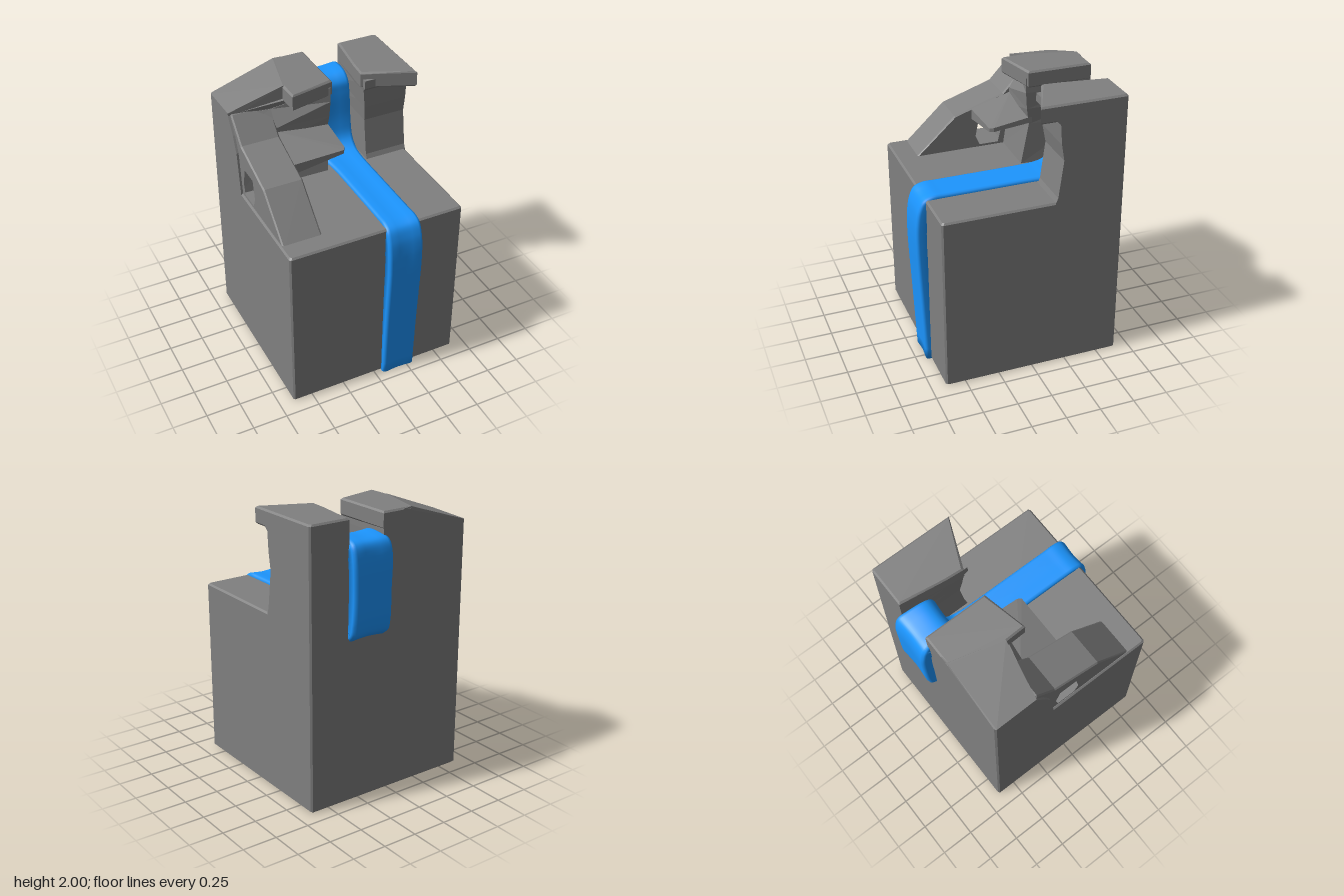
import * as THREE from 'three';
import { ConvexGeometry } from 'three/addons/geometries/ConvexGeometry.js';

const grey = new THREE.MeshStandardMaterial({ color: 0x808080, flatShading: true });
const blue = new THREE.MeshStandardMaterial({ color: 0x1c96ff });

// Skin a list of equal-length rings and cap both ends
function loft(rings, smooth = false) {
  const n = rings[0].length, index = [];
  for (let r = 0; r < rings.length - 1; r++) {
    for (let i = 0; i < n; i++) {
      const a = r * n + i, b = r * n + (i + 1) % n;
      index.push(a, b, b + n, a, b + n, a + n);
    }
  }
  const last = (rings.length - 1) * n;
  for (let i = 1; i < n - 1; i++) {
    index.push(0, i + 1, i, last, last + i, last + i + 1);
  }
  let geo = new THREE.BufferGeometry();
  geo.setAttribute('position', new THREE.Float32BufferAttribute(rings.flat(2), 3));
  geo.setIndex(index);
  if (!smooth) geo = geo.toNonIndexed();
  geo.computeVertexNormals();
  return geo;
}

const convex = (points) => new ConvexGeometry(points.map((p) => new THREE.Vector3(...p)));

// Convex prism over a plan of [x, z] corners, with chamfered top and bottom edges
function slab(plan, y0, y1, c = 0.012) {
  const cx = plan.reduce((s, p) => s + p[0], 0) / plan.length;
  const cz = plan.reduce((s, p) => s + p[1], 0) / plan.length;
  const points = [];
  for (const [x, z] of plan) {
    const ix = x - Math.sign(x - cx) * c, iz = z - Math.sign(z - cz) * c;
    points.push([ix, y0, iz], [ix, y1, iz], [x, y0 + c, z], [x, y1 - c, z]);
  }
  return convex(points);
}

export function createModel() {
  const group = new THREE.Group();
  const add = (name, geo, mat = grey) => {
    const mesh = new THREE.Mesh(geo, mat);
    mesh.name = name;
    group.add(mesh);
  };

  // Main block, with its upright edges chamfered too
  const h = 0.645, k = 0.633;
  add('baseBlock', slab([[h, k], [k, h], [-k, h], [-h, k], [-h, -k], [-k, -h], [k, -h], [h, -k]], 0, 1.295));

  // Left tower: waisted stem under an overhanging lip
  const leftLevels = [[1.2, -0.15, 0.33], [1.295, -0.15, 0.33], [1.33, -0.165, 0.33], [1.6, -0.2, 0.33],
    [1.72, -0.18, 0.32], [1.86, -0.17, 0.305], [1.89, -0.14, 0.3], [1.95, -0.14, 0.3]];
  add('leftTowerStem', loft(leftLevels.map(([y, z, x]) => [
    [x, y, z], [h, y, z], [h, y, -k], [k, y, -h], [0.34, y, -h], [x, y, -0.31],
  ])));
  add('leftTowerLip', slab([[0.34, -h], [0.295, -0.31], [0.285, -0.18], [k, -0.035], [h, -0.03], [h, -k], [k, -h]], 1.88, 2));

  // Right tower: the outer side leans back towards the roof
  // each level: y, inner front z, middle front z, outer front z, inner x
  const rightLevels = [[1.2, -0.15, -0.155, -0.16, 0.02], [1.295, -0.15, -0.155, -0.16, 0.02],
    [1.6, -0.2, -0.2, -0.2, 0.035], [1.72, -0.18, -0.2, -0.25, 0.045],
    [1.84, -0.17, -0.275, -0.32, 0.05], [1.95, -0.17, -0.28, -0.325, 0.05]];
  add('rightTowerStem', loft(rightLevels.map(([y, zi, zm, zo, x]) => {
    const eave = Math.min(y, 1.835);
    return [
      [-h, eave, zo], [-0.35, eave, zm], [x, y, zi], [0.06, y, -h], [-k, eave, -h], [-h, eave, -k],
    ];
  })));
  add('rightTowerLip', slab([[0.065, -h], [0.065, -0.18], [-0.26, -0.11], [-0.265, -0.26], [-0.17, -h]], 1.88, 2));
  add('rightTowerSlope', convex([
    [-0.17, 2, -0.64], [-0.26, 2, -0.262], [-h, 1.855, -0.32], [-h, 1.843, -k], [-k, 1.845, -h],
    [-0.1, 1.995, -h], [-0.1, 1.995, -0.3],
    [-0.1, 1.8, -h], [-0.26, 1.82, -0.266], [-h, 1.8, -0.32], [-h, 1.8, -k], [-k, 1.8, -h],
  ]));

  // Side brace with a six-sided opening, drawn as [z, y] and extruded across x
  const outline = [[0.515, 1.28], [0.215, 1.562], [-0.15, 1.685], [-0.3, 1.845], [-0.42, 1.845], [-0.42, 1.28]];
  const opening = [[0.035, 1.3], [0.07, 1.38], [0.04, 1.53], [-0.11, 1.53], [-0.145, 1.4], [-0.12, 1.3]];
  const toPoints = (list) => list.map(([z, y]) => new THREE.Vector2(-z, y));
  const shape = new THREE.Shape(toPoints(outline));
  shape.holes.push(new THREE.Path(toPoints(opening)));
  const brace = new THREE.ExtrudeGeometry(shape, {
    depth: 0.265, bevelSize: 0.01, bevelThickness: 0.01, bevelOffset: -0.01, bevelSegments: 1,
  });
  brace.rotateY(Math.PI / 2).translate(-0.62, 0, 0);
  add('sideBrace', brace);

  // Tapering shelf between the brace and the tower
  add('shelf', convex([
    [-0.36, 1.52, 0.088], [-0.36, 1.597, 0.088], [-0.36, 1.53, -0.22], [-0.36, 1.695, -0.22],
    [0.025, 1.58, 0.088], [0.025, 1.607, 0.088], [0.04, 1.583, 0.06], [0.04, 1.613, 0.06],
    [0.04, 1.612, -0.22], [0.04, 1.655, -0.22],
  ]));

  // Strap: outer path as [z, y, right x, left x], from the front foot over to the back
  const path = [
    [0.68, 0, 0.055, 0.305], [0.7, 0.5, 0.055, 0.305], [0.718, 0.95, 0.057, 0.31], [0.713, 1.12, 0.055, 0.312],
    [0.695, 1.22, 0.055, 0.312], [0.66, 1.29, 0.057, 0.312], [0.6, 1.317, 0.06, 0.312], [0.5, 1.319, 0.062, 0.31],
    [0.3, 1.319, 0.062, 0.31], [0.1, 1.319, 0.062, 0.31], [-0.1, 1.319, 0.06, 0.31], [-0.22, 1.319, 0.05, 0.315],
    [-0.3, 1.326, 0.03, 0.325], [-0.365, 1.38, 0.025, 0.33], [-0.395, 1.5, 0.025, 0.332],
    [-0.41, 1.73, 0.035, 0.328], [-0.425, 1.81, 0.04, 0.325], [-0.48, 1.857, 0.045, 0.325], [-0.6, 1.857, 0.045, 0.335],
    [-0.68, 1.83, 0.032, 0.345], [-0.713, 1.74, 0.028, 0.348], [-0.717, 1.5, 0.035, 0.342], [-0.705, 1.28, 0.03, 0.345],
    [-0.685, 1.205, 0.03, 0.345], [-0.64, 1.165, 0.03, 0.345],
  ];
  const edge = (col) => new THREE.CatmullRomCurve3(path.map((p) => new THREE.Vector3(p[col], p[1], p[0])));
  const rightEdge = edge(2), leftEdge = edge(3);
  // cross-section as [position across, depth], slightly hollow in the middle
  const section = [[0, -0.07], [0, -0.022], [0.025, -0.006], [0.09, 0], [0.3, -0.005], [0.5, -0.008],
    [0.7, -0.005], [0.91, 0], [0.975, -0.006], [1, -0.022], [1, -0.07]];
  const rings = [];
  const steps = 144;
  for (let i = 0; i <= steps; i++) {
    const a = rightEdge.getPoint(i / steps), b = leftEdge.getPoint(i / steps);
    const t = rightEdge.getTangent(i / steps).setX(0).normalize();
    rings.push(section.map(([u, d]) => [
      a.x + (b.x - a.x) * u,
      Math.max(0, a.y - t.z * d),
      a.z + t.y * d,
    ]));
  }
  add('strap', loft(rings, true), blue);

  return group;
}
